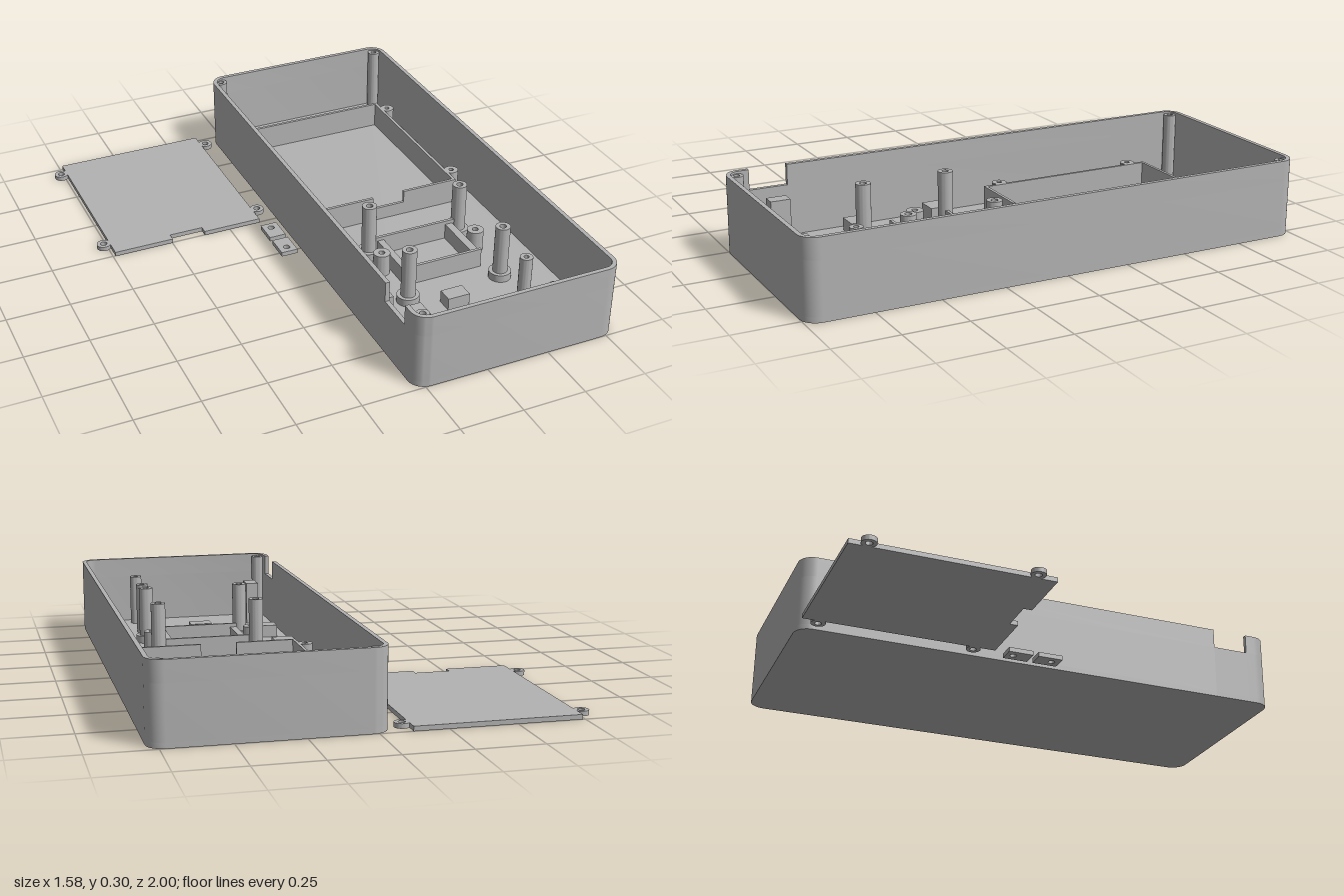
import * as THREE from 'three';
import { toCreasedNormals } from 'three/addons/utils/BufferGeometryUtils.js';

const grey = new THREE.MeshStandardMaterial({ color: 0xb3b3b3 });
grey.name = 'greyPlastic';

// Extrudes a floor-plan shape (drawn in x, z) between two heights
function slab(parent, name, shape, y0, y1) {
  const geo = new THREE.ExtrudeGeometry(shape, { depth: y1 - y0, bevelEnabled: false, curveSegments: 16 });
  geo.rotateX(Math.PI / 2).translate(0, y1, 0);
  const mesh = new THREE.Mesh(toCreasedNormals(geo, 0.5), grey);
  mesh.name = name;
  parent.add(mesh);
}

function rect(x0, x1, z0, z1) {
  const v = (x, z) => new THREE.Vector2(x, z);
  return new THREE.Shape([v(x0, z0), v(x1, z0), v(x1, z1), v(x0, z1)]);
}

const circle = (x, z, r, C = THREE.Shape) => new C().absarc(x, z, r, 0, Math.PI * 2, false);

function ring(x, z, r, hole) {
  const s = circle(x, z, r);
  s.holes.push(circle(x, z, hole, THREE.Path));
  return s;
}

const box = (parent, name, x0, x1, z0, z1, y0, y1) => slab(parent, name, rect(x0, x1, z0, z1), y0, y1);

// Rounded case outline, starting and ending at the side notch
const NOTCH = [0.75, 0.9];
function outline(inset) {
  const r = 0.062, xa = -0.043 + r, xb = 0.79 - r, zb = 1 - r, n = 10;
  const pts = [new THREE.Vector2(-0.043 + inset, NOTCH[0])];
  [[xa, -zb, 2], [xb, -zb, 3], [xb, zb, 0], [xa, zb, 1]].forEach(([x, z, q]) => {
    for (let i = 0; i <= n; i++) {
      const a = (q + i / n) * Math.PI / 2;
      pts.push(new THREE.Vector2(x + (r - inset) * Math.cos(a), z + (r - inset) * Math.sin(a)));
    }
  });
  pts.push(new THREE.Vector2(-0.043 + inset, NOTCH[1]));
  return pts;
}

function buildCase() {
  const g = new THREE.Group();
  g.name = 'case';
  const floor = 0.02, wall = 0.017, H = 0.3, sill = 0.22;

  // Floor, closed lower wall and notched upper wall
  slab(g, 'caseFloor', new THREE.Shape(outline(0)), 0, floor);
  const lower = new THREE.Shape(outline(0));
  lower.holes.push(new THREE.Path(outline(wall)));
  slab(g, 'lowerWall', lower, floor, sill);
  slab(g, 'upperWall', new THREE.Shape([...outline(0), ...outline(wall).reverse()]), sill, H);

  // Corner screw posts
  [[-0.002, -0.96], [0.747, -0.96], [-0.002, 0.955]].forEach(([x, z]) =>
    slab(g, 'cornerPost', ring(x, z, 0.025, 0.012), floor, 0.292));

  // Large display frame with a cable gap in its front wall
  const fx = [0.062, 0.682], fz = [-0.79, -0.04], t = 0.012, fh = 0.125;
  box(g, 'displayFrameBack', fx[0], fx[1], fz[0], fz[0] + t, floor, fh);
  box(g, 'displayFrameRight', fx[0], fx[0] + t, fz[0] + t, fz[1] - t, floor, fh);
  box(g, 'displayFrameLeft', fx[1] - t, fx[1], fz[0] + t, fz[1] - t, floor, fh);
  box(g, 'displayFrameFront', fx[0], 0.3, fz[1] - t, fz[1], floor, fh);
  box(g, 'displayFrameFront', 0.44, fx[1], fz[1] - t, fz[1], floor, fh);
  box(g, 'displayFrameGap', 0.3, 0.44, fz[1] - t, fz[1], floor, 0.075);
  for (const x of [0.04, 0.704]) for (const z of [-0.725, -0.12])
    slab(g, 'displayBoss', ring(x, z, 0.029, 0.01), floor, fh);

  // Small module frame with lower side rails
  box(g, 'moduleFrameBack', 0.19, 0.56, 0.185, 0.197, floor, 0.1);
  box(g, 'moduleFrameFront', 0.204, 0.538, 0.422, 0.434, floor, 0.1);
  box(g, 'moduleRailRight', 0.204, 0.231, 0.197, 0.422, floor, 0.085);
  box(g, 'moduleRailLeft', 0.506, 0.538, 0.197, 0.422, floor, 0.085);
  for (const x of [0.165, 0.579])
    slab(g, 'moduleBoss', ring(x, 0.311, 0.033, 0.012), floor, 0.11);

  // Tall board posts with base collars
  for (const x of [0.171, 0.571]) for (const z of [0.184, 0.525]) {
    slab(g, 'boardPost', ring(x, z, 0.029, 0.013), floor, 0.25);
    slab(g, 'boardPostCollar', ring(x, z, 0.044, 0.027), floor, 0.05);
  }

  // Slim front posts
  for (const z of [0.718, 0.92])
    slab(g, 'slimPost', ring(0.56, z, 0.025, 0.01), floor, 0.23);

  // Support blocks
  box(g, 'supportBlock', 0.015, 0.1, 0.14, 0.21, floor, 0.08);
  box(g, 'supportBlock', 0.015, 0.1, 0.48, 0.545, floor, 0.07);
  box(g, 'supportBlock', 0.28, 0.37, 0.582, 0.645, floor, 0.07);
  box(g, 'switchSupport', 0.033, 0.085, 0.78, 0.858, floor, 0.2);
  return g;
}

function buildCover() {
  const g = new THREE.Group();
  g.name = 'displayCover';
  const t = 0.018;
  // Plate with a front gap
  const s = new THREE.Shape();
  [[-0.74, -1], [-0.12, -1], [-0.12, -0.247], [-0.36, -0.247], [-0.36, -0.28],
    [-0.498, -0.28], [-0.498, -0.247], [-0.74, -0.247]]
    .forEach(([x, z], i) => (i ? s.lineTo(x, z) : s.moveTo(x, z)));
  slab(g, 'coverPlate', s, 0, t);
  // Screw ears
  for (const x of [-0.763, -0.098]) for (const z of [-0.934, -0.328])
    slab(g, 'coverEar', ring(x, z, 0.028, 0.013), 0, t);
  return g;
}

export function createModel() {
  const model = new THREE.Group();
  model.name = 'enclosure';
  model.add(buildCase(), buildCover());
  // Two loose clamp tabs
  [[-0.195, -0.165], [-0.073, -0.006]].forEach(([z, hole]) => {
    const s = rect(-0.135, -0.067, z, z + 0.099);
    s.holes.push(circle(-0.101, hole, 0.013, THREE.Path));
    slab(model, 'clampTab', s, 0, 0.018);
  });
  return model;
}
